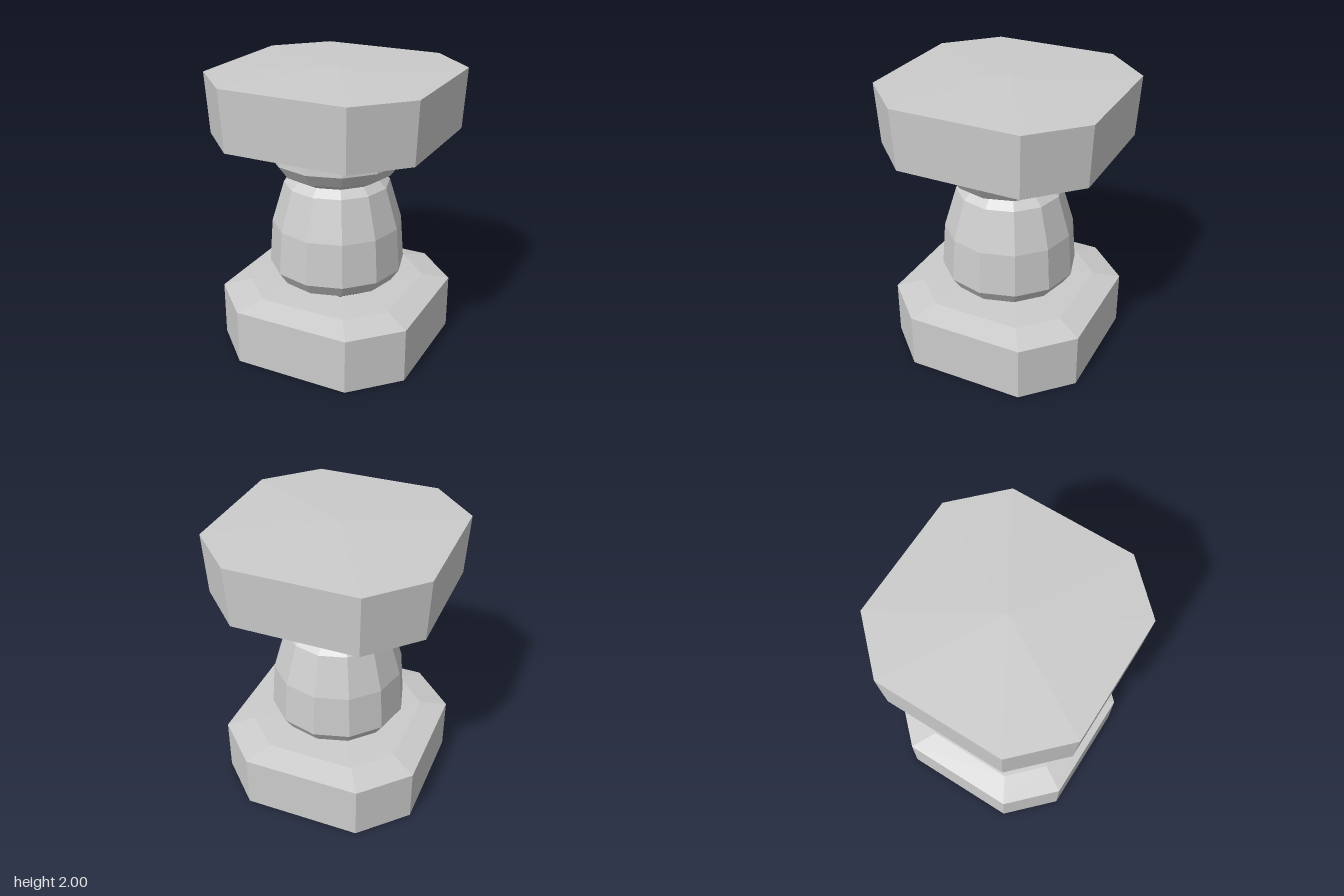
import * as THREE from 'three';

const material = new THREE.MeshStandardMaterial({ color: 0xcccccc, flatShading: true, side: THREE.DoubleSide });

// slightly twisted octagon outline, [x, z], running from +z towards +x
const quarter = [[0.43, 0.765], [0.752, 0.445]];
const octagon = [];
for (let q = 0; q < 4; q++) {
  for (const [x, z] of quarter) {
    let p = [x, z];
    for (let i = 0; i < q; i++) p = [p[1], -p[0]];
    octagon.push(p);
  }
}

// stacks scaled octagons, levels listed from bottom to top as [scale, y]
function octagonStack(name, levels) {
  const positions = [];
  const n = octagon.length;
  const point = ([s, y], i) => [octagon[i % n][0] * s, y, octagon[i % n][1] * s];
  for (let l = 0; l < levels.length - 1; l++) {
    for (let i = 0; i < n; i++) {
      const a = point(levels[l], i), b = point(levels[l], i + 1);
      const c = point(levels[l + 1], i + 1), d = point(levels[l + 1], i);
      if (levels[l][0] > 0) positions.push(...a, ...b, ...c);
      if (levels[l + 1][0] > 0) positions.push(...a, ...c, ...d);
    }
  }
  const geometry = new THREE.BufferGeometry();
  geometry.setAttribute('position', new THREE.Float32BufferAttribute(positions, 3));
  geometry.computeVertexNormals();
  const mesh = new THREE.Mesh(geometry, material);
  mesh.name = name;
  return mesh;
}

// twelve-sided turned part, profile listed from bottom to top as [radius, y]
function turned(name, profile) {
  const points = profile.map(([r, y]) => new THREE.Vector2(r, y));
  const mesh = new THREE.Mesh(new THREE.LatheGeometry(points, 12), material);
  mesh.name = name;
  return mesh;
}

export function createModel() {
  const group = new THREE.Group();
  group.name = 'pedestal';

  // hollow plinth, open underneath, with a bevelled top
  group.add(octagonStack('base', [[0.94, 0], [0.94, 0.39], [0.71, 0.433], [0.37, 0.443]]));

  // bulging column
  group.add(turned('column', [
    [0, 0.44], [0.3, 0.442], [0.42, 0.5], [0.48, 0.59], [0.457, 0.9], [0.37, 1.19], [0.31, 1.24],
  ]));

  // flared collar under the slab
  group.add(turned('collar', [[0.31, 1.24], [0.4, 1.29], [0.465, 1.38], [0.455, 1.495]]));

  // top slab with a bevelled underside and a shallow pyramid top
  group.add(octagonStack('topSlab', [[0.56, 1.49], [0.78, 1.51], [0.972, 1.55], [1, 1.97], [0, 2]]));

  return group;
}
